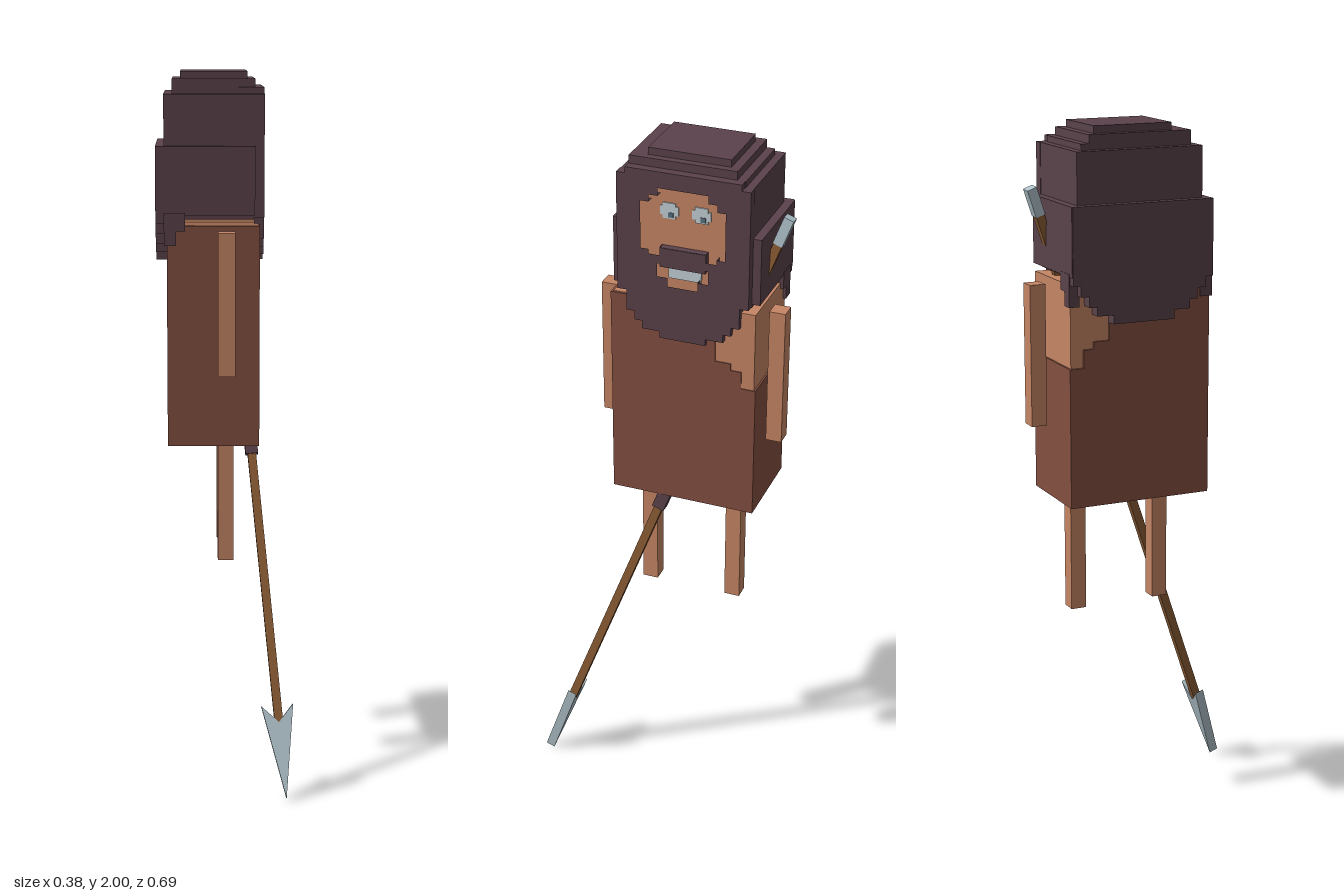
import * as THREE from 'three';

const mat = (name, color) => Object.assign(new THREE.MeshStandardMaterial({ color }), { name });

export function createModel() {
  const root = new THREE.Group();
  root.name = 'spearWarrior';
  const hair = mat('dark hair', 0x5a424b), tunic = mat('brown leather', 0x834f40);
  const skin = mat('skin', 0xc58564), metal = mat('steel', 0xb0c3cb);
  const wood = mat('wood', 0x8a5c35), white = mat('eye white', 0xc3d0d6), pupil = mat('pupil', 0x59707e);

  // box from its lower and upper limits on each axis
  const box = (name, m, x0, x1, y0, y1, z0, z1, parent = root) => {
    const b = new THREE.Mesh(new THREE.BoxGeometry(x1 - x0, y1 - y0, z1 - z0), m);
    b.position.set((x0 + x1) / 2, (y0 + y1) / 2, (z0 + z1) / 2);
    b.name = name;
    parent.add(b);
    return b;
  };
  const path = (pts) => pts.map(([u, y]) => new THREE.Vector2(u, y));
  // outline in (u = -z, y), extruded along x from x0 to x1
  const plate = (name, m, pts, x0, x1, holes = []) => {
    const s = new THREE.Shape(path(pts));
    holes.forEach((h) => s.holes.push(new THREE.Path(path(h))));
    const p = new THREE.Mesh(new THREE.ExtrudeGeometry(s, { depth: x1 - x0, bevelEnabled: false }), m);
    p.rotation.y = Math.PI / 2;
    p.position.x = x0;
    p.name = name;
    root.add(p);
    return p;
  };
  // symmetric stepped outline: rows of [half width, top y, bottom y], top to bottom
  const C = 0.081;
  const stepped = (rows) => {
    const half = rows.flatMap(([w, a, b]) => [[w, a], [w, b]]);
    return [...half.map(([w, y]) => [C + w, y]), ...half.reverse().map(([w, y]) => [C - w, y])];
  };

  // torso, and a tunic that leaves one shoulder bare
  box('torso', skin, -0.153, 0.092, 0.98, 1.587, -0.281, 0.122);
  plate('tunic', tunic, [
    [-0.13, 0.97], [0.286, 0.97], [0.286, 1.36], [0.245, 1.36], [0.245, 1.41], [0.215, 1.41],
    [0.215, 1.43], [0.17, 1.43], [0.17, 1.5], [0.15, 1.5], [0.15, 1.584], [-0.13, 1.584],
  ], -0.16, 0.095);

  // limbs
  box('leftArm', skin, -0.02, 0.027, 1.175, 1.57, -0.342, -0.297);
  box('rightArm', skin, -0.02, 0.027, 1.175, 1.57, 0.139, 0.185);
  box('leftLeg', skin, -0.02, 0.025, 0.625, 1, -0.229, -0.184);
  box('rightLeg', skin, -0.02, 0.025, 0.625, 1, 0.025, 0.07);

  // head and stacked hair
  box('head', skin, -0.14, 0.086, 1.58, 1.92, -0.23, 0.068);
  box('hairCrown', hair, -0.168, 0.08, 1.6, 1.94, -0.265, 0.102);
  box('hairUpperStep', hair, -0.145, 0.084, 1.9, 1.957, -0.243, 0.079);
  box('hairTopStep', hair, -0.145, 0.083, 1.9, 1.98, -0.22, 0.078);
  box('hairTop', hair, -0.122, 0.062, 1.9, 2, -0.196, 0.032);
  box('hairSideBand', hair, -0.188, 0.082, 1.612, 1.8, -0.289, 0.125);
  plate('hairBack', hair, stepped([
    [0.206, 1.8, 1.59], [0.185, 1.59, 1.56], [0.16, 1.56, 1.53], [0.137, 1.53, 1.505], [0.09, 1.505, 1.48],
  ]), -0.191, -0.155);
  [[-0.11, 1.57], [-0.135, 1.53]].forEach(([x, y]) => {
    box('hairSideLock', hair, -0.168, x, y, 1.62, 0.1, 0.134);
    box('hairSideLock', hair, -0.168, x, y, 1.62, -0.29, -0.26);
  });

  // beard and fringe in one piece, with openings for the face and mouth
  const face = [
    ...stepped([[0.07, 1.912, 1.89], [0.095, 1.89, 1.87], [0.118, 1.87, 1.735], [0.095, 1.735, 1.722]]),
  ];
  face.splice(8, 0, [C + 0.065, 1.722], [C + 0.065, 1.745], [C - 0.065, 1.745], [C - 0.065, 1.722]);
  const mouthGap = stepped([[0.072, 1.698, 1.66], [0.042, 1.66, 1.635]]);
  plate('beard', hair, stepped([
    [0.16, 1.957, 1.94], [0.185, 1.94, 1.605], [0.16, 1.605, 1.545], [0.137, 1.545, 1.52],
    [0.115, 1.52, 1.497], [0.065, 1.497, 1.478],
  ]), 0.08, 0.108, [face, mouthGap]);
  box('moustache', hair, 0.086, 0.109, 1.69, 1.744, -C - 0.064, -C + 0.064);

  // eyes and teeth
  [-0.036, -0.126].forEach((z) => {
    box('eye', white, 0.086, 0.089, 1.822, 1.866, z - 0.018, z + 0.018);
    box('eye', white, 0.086, 0.0885, 1.831, 1.857, z - 0.026, z + 0.026);
    box('pupil', pupil, 0.087, 0.0905, 1.826, 1.84, z - 0.012, z + 0.002);
  });
  box('teeth', white, 0.086, 0.09, 1.652, 1.681, -C - 0.046, -C + 0.046);

  // long spear, built upright from its tip and then tilted
  const spear = new THREE.Group();
  spear.name = 'spear';
  const up = new THREE.Vector3(-0.18, 1.83, -0.665);
  const len = up.length();
  box('spearShaft', wood, -0.012, 0.012, 0.2, len - 0.07, -0.012, 0.012, spear);
  box('spearGrip', hair, -0.018, 0.018, 0.975, 1.2, -0.018, 0.018, spear);
  box('spearButt', metal, -0.015, 0.015, len - 0.085, len - 0.005, -0.014, 0.014, spear);
  const blade = new THREE.Shape(path([[0, 0], [0.045, 0.26], [0, 0.212], [-0.045, 0.26]]));
  const bladeMesh = new THREE.Mesh(
    new THREE.ExtrudeGeometry(blade, { depth: 0.027, bevelEnabled: false }).translate(0, 0, -0.0135), metal);
  bladeMesh.name = 'spearBlade';
  spear.add(bladeMesh);
  up.normalize();
  const side = new THREE.Vector3(1, 0, 0).addScaledVector(up, -up.x).normalize();
  spear.quaternion.setFromRotationMatrix(
    new THREE.Matrix4().makeBasis(side, up, new THREE.Vector3().crossVectors(side, up)));
  spear.position.set(0.168, 0.006, 0.329);
  root.add(spear);

  return root;
}
